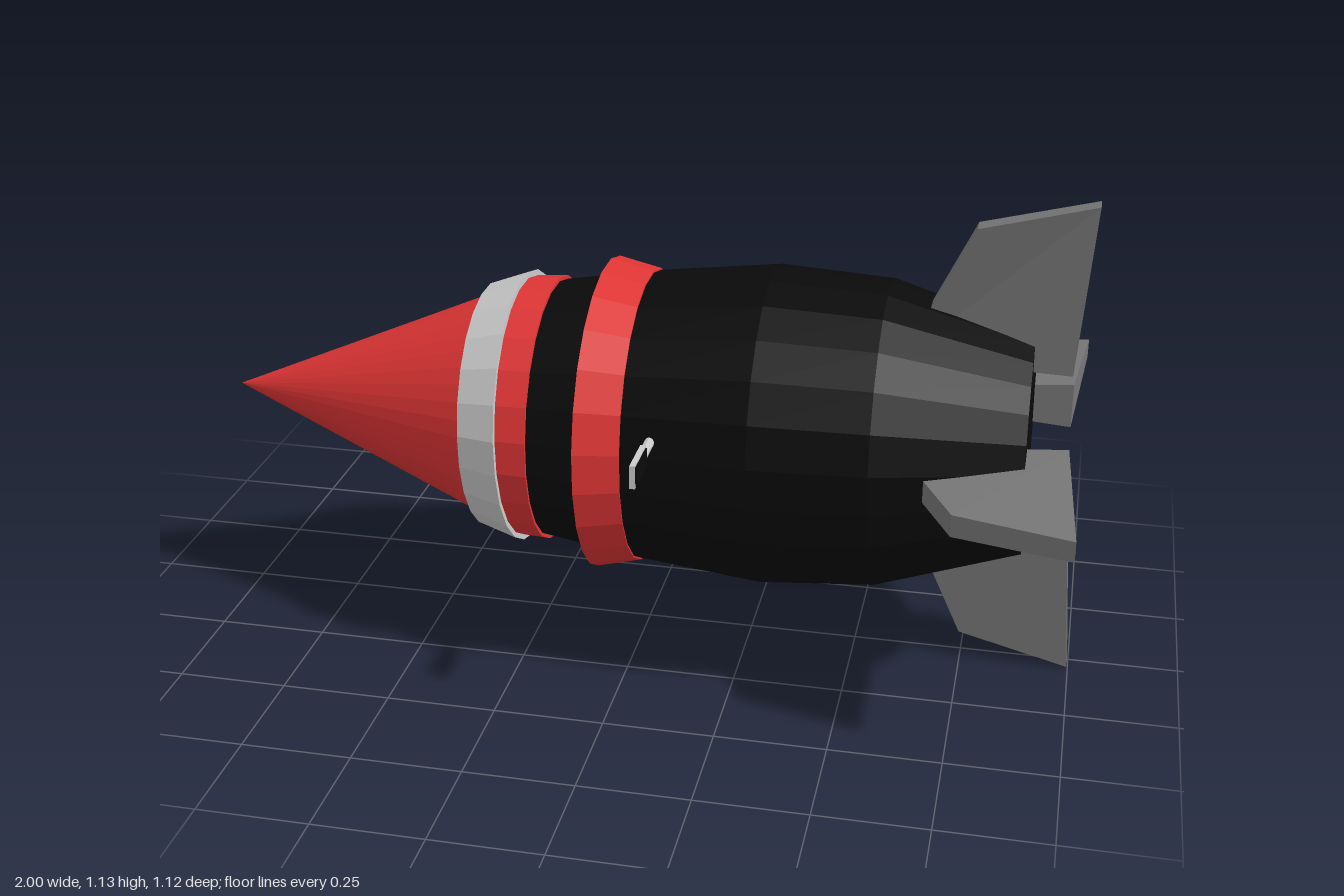
import * as THREE from 'three';

const paint = (color) => new THREE.MeshStandardMaterial({ color, flatShading: true });
const RED = paint(0xe03535), BLACK = paint(0x0a0a0a), STEEL = paint(0xcccccc), FIN = paint(0x777777);

function add(parent, name, geometry, material, x = 0, y = 0, z = 0) {
  const mesh = new THREE.Mesh(geometry, material);
  mesh.name = name;
  mesh.position.set(x, y, z);
  parent.add(mesh);
  return mesh;
}

// Solid of revolution about the x axis; profile is [x, radius] from nose to tail
function turned(profile, sides = 24) {
  const points = profile.map(([x, r]) => new THREE.Vector2(r, x));
  return new THREE.LatheGeometry(points, sides, Math.PI / sides).rotateZ(-Math.PI / 2);
}

// Ring with inner radius, closed at both ends
const band = (x0, r0, x1, r1, inner) => turned([[x0, inner], [x0, r0], [x1, r1], [x1, inner]]);

// Wedge fin: a box whose corners move to [x, radius, thickness], leaning sideways to the tip
function finGeometry(span, rootShift, tipShift) {
  const corners = {
    frontRoot: [0.58, 0.182, 0.05], rearRoot: [0.955, 0.182, 0.106],
    frontTip: [0.73, span - 0.065, 0.05], rearTip: [0.983, span, 0.046],
  };
  const geometry = new THREE.BoxGeometry(1, 1, 1);
  const p = geometry.attributes.position;
  for (let i = 0; i < p.count; i++) {
    const tip = p.getY(i) > 0;
    const [x, y, t] = corners[(p.getX(i) > 0 ? 'rear' : 'front') + (tip ? 'Tip' : 'Root')];
    p.setXYZ(i, x, y, p.getZ(i) * t + (tip ? tipShift : rootShift));
  }
  geometry.computeVertexNormals();
  return geometry;
}

export function createModel() {
  const model = new THREE.Group();
  model.name = 'rocket';

  // Hull, pitched very slightly
  const hull = new THREE.Group();
  hull.name = 'hull';
  hull.position.set(0, 0.55, 0.034);
  hull.rotation.z = 0.012;
  model.add(hull);

  add(hull, 'body', turned([[-0.36, 0], [-0.36, 0.26], [-0.21, 0.3], [0, 0.333],
    [0.29, 0.365], [0.55, 0.348], [0.872, 0.25], [0.872, 0]]), BLACK);
  add(hull, 'noseCone', turned([[-1, 0], [-0.34, 0.274], [-0.34, 0]], 40), RED);
  add(hull, 'frontBand', band(-0.29, 0.303, -0.21, 0.308, 0.25), RED);
  add(hull, 'middleBand', band(-0.09, 0.361, 0.01, 0.338, 0.3), RED);
  const collar = add(hull, 'collar', band(-0.047, 0.286, 0.045, 0.317, 0.25), STEEL, -0.323);
  collar.rotation.z = 0.02;

  // Four tail fins: [span, root shift, tip shift, x offset]
  const fins = new THREE.Group();
  fins.name = 'tailFins';
  fins.position.y = 0.565;
  model.add(fins);
  [
    ['topFin', 0.567, 0.028, 0.055, 0],
    ['leftFin', 0.557, 0, 0, 0.005],
    ['bottomFin', 0.565, -0.003, -0.013, 0.015],
    ['rightFin', 0.557, 0, 0, 0.005],
  ].forEach(([name, span, root, tip, x], i) => {
    add(fins, name, finGeometry(span, root, tip), FIN, x).rotation.x = i * Math.PI / 2;
  });

  // Small sign on a post
  const sign = new THREE.Group();
  sign.name = 'sign';
  model.add(sign);
  add(sign, 'signPost', new THREE.CylinderGeometry(0.011, 0.011, 0.13, 10).rotateX(Math.PI / 2),
    STEEL, 0.076, 0.631, 0.39);
  add(sign, 'signFrame', new THREE.BoxGeometry(0.012, 0.052, 0.108), STEEL, 0.082, 0.639, 0.504);
  add(sign, 'signPanel', new THREE.BoxGeometry(0.004, 0.044, 0.1), BLACK, 0.089, 0.639, 0.504);

  return model;
}
